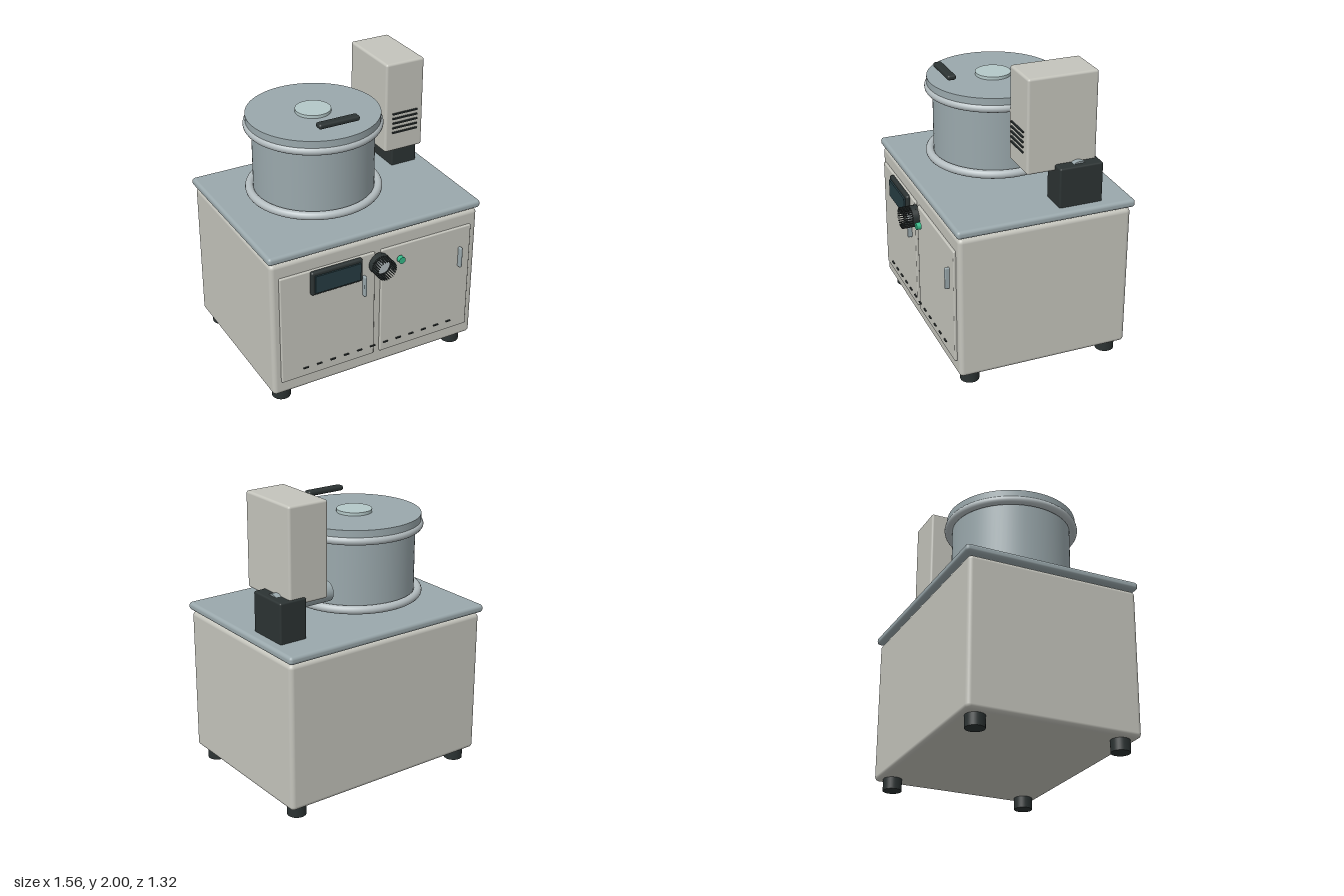
import * as THREE from 'three';
import { RoundedBoxGeometry } from 'three/addons/geometries/RoundedBoxGeometry.js';

const material = (color) => new THREE.MeshStandardMaterial({ color });

export function createModel() {
  const model = new THREE.Group();
  const shell = material(0xc4c4bc);
  const steel = material(0x9aa8ac);
  const rim = material(0xb4bdc0);
  const pale = material(0xb4c8c8);
  const black = material(0x2c3333);
  const glass = material(0x263c42);
  const green = material(0x35b888);

  const add = (name, geometry, mat, x = 0, y = 0, z = 0) => {
    const mesh = new THREE.Mesh(geometry, mat);
    mesh.name = name;
    mesh.position.set(x, y, z);
    model.add(mesh);
    return mesh;
  };
  // Box given by its limits on each axis, optionally with rounded edges
  const block = (name, mat, [x0, x1], [y0, y1], [z0, z1], radius = 0) => {
    const size = [x1 - x0, y1 - y0, z1 - z0];
    const geometry = radius
      ? new RoundedBoxGeometry(...size, 4, radius)
      : new THREE.BoxGeometry(...size);
    return add(name, geometry, mat, (x0 + x1) / 2, (y0 + y1) / 2, (z0 + z1) / 2);
  };
  // Upright disc or drum between two heights
  const drum = (name, mat, r, y0, y1, x, z, segments = 64) =>
    add(name, new THREE.CylinderGeometry(r, r, y1 - y0, segments), mat, x, (y0 + y1) / 2, z);
  // Disc facing the front between two depths
  const dial = (name, mat, r, z0, z1, x, y, segments = 40) => {
    const mesh = add(name, new THREE.CylinderGeometry(r, r, z1 - z0, segments), mat, x, y, (z0 + z1) / 2);
    mesh.rotation.x = Math.PI / 2;
    return mesh;
  };

  // Cabinet, worktop and feet
  block('cabinet', shell, [-0.765, 0.765], [0.08, 1.08], [-0.64, 0.535], 0.03);
  block('worktop', steel, [-0.78, 0.78], [1.09, 1.144], [-0.663, 0.549], 0.022);
  for (const x of [-0.665, 0.665])
    for (const z of [-0.543, 0.435]) drum('foot', black, 0.063, 0, 0.09, x, z, 32);

  // Doors and their pulls
  for (const [x0, x1, handleX] of [[-0.71, -0.025, -0.109], [0.022, 0.71, 0.627]]) {
    block('door', shell, [x0, x1], [0.18, 0.98], [0.525, 0.552], 0.008);
    block('doorHandle', steel, [handleX - 0.01, handleX + 0.01], [0.68, 0.83], [0.545, 0.582], 0.007);
  }

  // Row of slots along the bottom of the doors
  for (let i = 0; i < 12; i++) {
    const x = -0.54 + i * 0.1;
    block('doorSlot', black, [x - 0.018, x + 0.018], [0.249, 0.257], [0.558, 0.567]);
  }

  // Display
  block('displayFrame', black, [-0.5, -0.128], [0.805, 0.977], [0.54, 0.577], 0.015);
  block('displayScreen', glass, [-0.477, -0.15], [0.828, 0.952], [0.575, 0.588]);

  // Control knob with a ring of grip ribs
  const knobY = 0.893;
  dial('knobBody', black, 0.073, 0.545, 0.595, 0, knobY);
  dial('knobFace', rim, 0.054, 0.59, 0.602, 0, knobY);
  block('knobPointer', black, [-0.003, 0.003], [knobY + 0.015, knobY + 0.046], [0.6, 0.607]);
  for (let i = 0; i < 28; i++) {
    const a = (i / 28) * Math.PI * 2;
    const rib = add('knobRib', new THREE.BoxGeometry(0.012, 0.006, 0.1), black,
      Math.cos(a) * 0.067, knobY + Math.sin(a) * 0.067, 0.61);
    rib.rotation.z = a;
  }
  dial('indicatorButton', green, 0.024, 0.573, 0.604, 0.148, knobY, 24);

  // Chamber with rolled rims and lid
  const cx = -0.15, cz = -0.058;
  drum('chamber', steel, 0.402, 1.2, 1.7, cx, cz, 80);
  for (const y of [1.222, 1.683]) {
    const ring = add('chamberRim', new THREE.TorusGeometry(0.427, 0.028, 16, 96), rim, cx, y, cz);
    ring.rotation.x = Math.PI / 2;
  }
  drum('lid', steel, 0.44, 1.69, 1.755, cx, cz, 80);
  drum('lidWindow', pale, 0.118, 1.75, 1.776, cx, cz, 48);
  block('lidHandle', black, [-0.295, -0.007], [1.805, 1.84], [0.25, 0.31], 0.015);

  // Side duct, its mounting block and the motor housing
  const duct = add('duct', new THREE.CylinderGeometry(0.066, 0.066, 0.42, 40), steel, 0.46, 1.358, -0.31);
  duct.rotation.z = Math.PI / 2;
  block('mountingBlock', black, [0.515, 0.71], [1.08, 1.412], [-0.457, -0.16], 0.012);
  block('motorHousing', shell, [0.344, 0.63], [1.368, 2], [-0.443, 0.03], 0.016);
  for (let i = 0; i < 5; i++) {
    const y = 1.644 - i * 0.034;
    block('housingVent', black, [0.394, 0.582], [y - 0.005, y + 0.005], [0.034, 0.044]);
  }

  return model;
}
